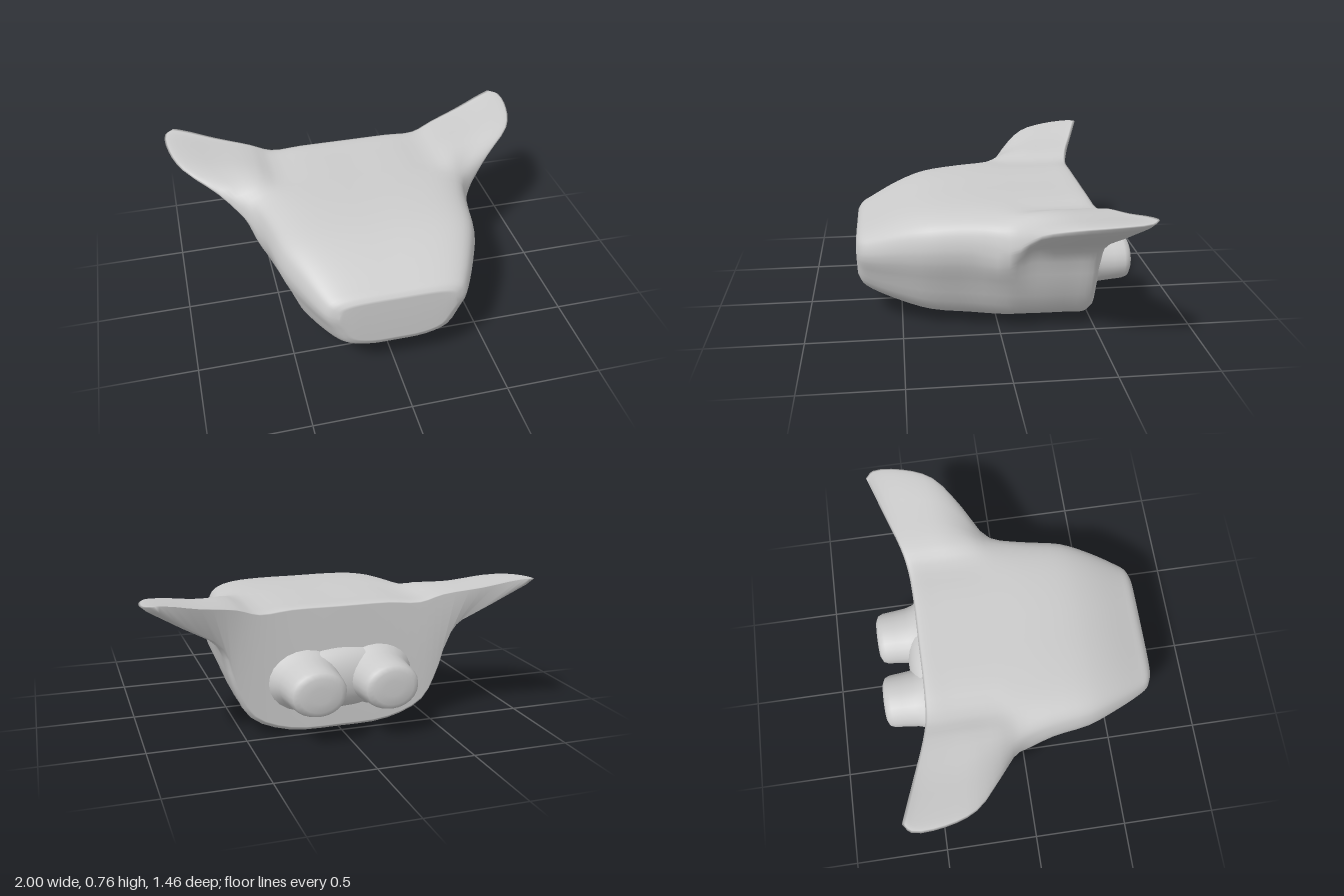
import * as THREE from 'three';

const V = (x, y, z) => new THREE.Vector3(x, y, z);
const material = new THREE.MeshStandardMaterial({ color: 0xcccccc });

// Half cross-section of the plain hull: share of half width, share of height
const HALF = [[0, 1], [0.42, 1], [0.7, 0.985], [0.86, 0.95], [0.94, 0.9], [0.98, 0.83], [1, 0.75],
  [1, 0.69], [0.98, 0.6], [0.9, 0.43], [0.75, 0.15], [0.44, 0.02], [0, 0]];

// Stations from nose to tail: z, top, bottom, half width, wing tip
const STATIONS = [
  [0.725, 0.465, 0.22, 0.3],
  [0.7, 0.495, 0.175, 0.35],
  [0.65, 0.52, 0.14, 0.385],
  [0.5, 0.59, 0.075, 0.46],
  [0.35, 0.635, 0.03, 0.52],
  [0.15, 0.655, 0.01, 0.555],
  [-0.03, 0.658, 0.004, 0.61],
  [-0.14, 0.658, 0.003, 0.615, [0.77, 0.63, -0.16]],
  [-0.25, 0.658, 0.003, 0.62, [0.93, 0.71, -0.3]],
  [-0.36, 0.658, 0.003, 0.62, [0.99, 0.74, -0.46]],
  [-0.455, 0.658, 0.004, 0.62, [0.995, 0.755, -0.62]],
  [-0.488, 0.65, 0.03, 0.6, [0.95, 0.76, -0.66]],
];

// Closed ring of points at one station, clockwise seen from the front
function section([z, top, bottom, w, tip]) {
  const half = HALF.map(([u, v]) => V(u * w, bottom + v * (top - bottom), z));
  if (tip) {
    const T = V(...tip);
    const reach = T.z - z;
    half[2].z += 0.06 * reach;
    half[3].set(0.54, Math.min(0.68, T.y + 0.035), z + 0.2 * reach);
    half[8].set(w, 0.485, z + 0.05 * reach);
    half[4].lerpVectors(half[3], T, 0.45);
    half[5].lerpVectors(half[3], T, 0.87);
    half[5].y += 0.008;
    half[6].copy(T);
    half[7].lerpVectors(half[8], T, 0.5);
  }
  const mirrored = half.slice(1, -1).reverse().map((p) => V(-p.x, p.y, p.z));
  return [...half, ...mirrored];
}

// Smooth loft through the stations with both ends closed
function hullGeometry() {
  const M = 72, H = M / 2, steps = (STATIONS.length - 1) * 3;
  const rings = STATIONS.map((s) => {
    const curve = new THREE.CatmullRomCurve3(section(s), true);
    return Array.from({ length: M }, (_, i) => curve.getPoint(i / M));
  });
  const position = [], index = [];
  const lines = Array.from({ length: M }, (_, i) => new THREE.CatmullRomCurve3(rings.map((r) => r[i])));
  for (let s = 0; s <= steps; s++) {
    for (const line of lines) position.push(...line.getPoint(s / steps).toArray());
  }
  const quad = (a, b, c, d) => index.push(a, b, c, a, c, d);
  for (let s = 0; s < steps; s++) {
    for (let i = 0; i < M; i++) {
      const j = (i + 1) % M;
      quad(s * M + i, s * M + j, (s + 1) * M + j, (s + 1) * M + i);
    }
  }
  // End caps: strips joining upper and lower edges
  const tail = steps * M;
  for (let i = 0; i < H / 2; i++) {
    for (const [a, b, c, d] of [[i, i + 1, H - i - 1, H - i], [H + i, H + i + 1, M - i - 1, (M - i) % M]]) {
      quad(d, c, b, a);
      quad(tail + a, tail + b, tail + c, tail + d);
    }
  }
  const g = new THREE.BufferGeometry();
  g.setAttribute('position', new THREE.Float32BufferAttribute(position, 3));
  g.setIndex(index);
  g.computeVertexNormals();
  return g;
}

export function createModel() {
  const group = new THREE.Group();
  const add = (name, geometry) => {
    const mesh = new THREE.Mesh(geometry, material);
    mesh.name = name;
    group.add(mesh);
    return mesh;
  };

  add('hullWithWings', hullGeometry());

  // Twin thrusters: flared base, rounded end, slightly flattened
  const profile = [[0.21, 0.46], [0.19, 0.495], [0.172, 0.52], [0.16, 0.56], [0.152, 0.63], [0.146, 0.69],
    [0.135, 0.715], [0.105, 0.729], [0.05, 0.732], [0, 0.732]].map(([r, d]) => new THREE.Vector2(r, d));
  for (const [name, side] of [['leftThruster', 1], ['rightThruster', -1]]) {
    const g = new THREE.LatheGeometry(profile, 24);
    g.rotateX(-Math.PI / 2);
    g.scale(1, 0.82, 1);
    add(name, g).position.set(side * 0.188, 0.282, 0);
  }

  // Soft web joining the thrusters to the tail
  const web = new THREE.SphereGeometry(1, 24, 16);
  web.scale(0.32, 0.16, 0.105);
  add('thrusterMount', web).position.set(0, 0.282, -0.47);

  return group;
}
